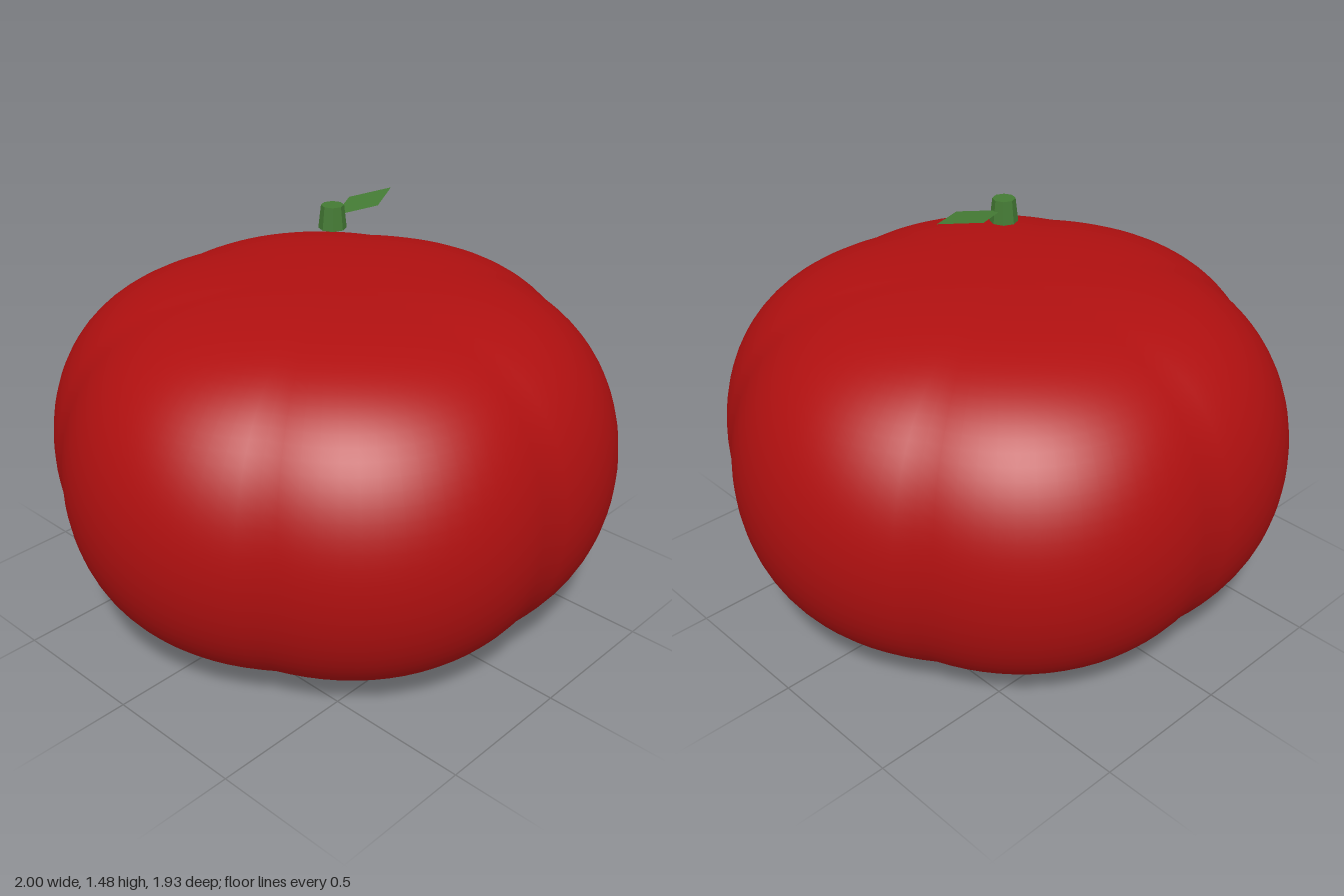
import * as THREE from 'three';
import { mergeVertices } from 'three/addons/utils/BufferGeometryUtils.js';

const red = new THREE.MeshStandardMaterial({ color: 0xb01010 });
red.name = 'tomato red';
const green = new THREE.MeshStandardMaterial({ color: 0x447a34, flatShading: true, side: THREE.DoubleSide });
green.name = 'stem green';

function addPart(group, name, geometry, material) {
  const mesh = new THREE.Mesh(geometry, material);
  mesh.name = name;
  group.add(mesh);
  return mesh;
}

// Squashed sphere with flattened poles and six lobes meeting in shallow creases
function fruitGeometry() {
  const sphere = new THREE.SphereGeometry(1, 96, 56);
  sphere.deleteAttribute('normal');
  sphere.deleteAttribute('uv');
  const geometry = mergeVertices(sphere);
  const p = geometry.attributes.position;
  for (let i = 0; i < p.count; i++) {
    const x = p.getX(i), y = p.getY(i), z = p.getZ(i);
    const lobe = 0.955 + 0.045 * Math.abs(Math.cos(3 * Math.atan2(z, x)));
    p.setXYZ(i, x * lobe, 0.613 + 0.85 * y * (1 - 0.28 * y * y), z * lobe);
  }
  geometry.computeVertexNormals();
  return geometry;
}

// Flat diamond, rising slightly towards its tip
function leafGeometry() {
  const shape = new THREE.Shape();
  shape.moveTo(-0.14, 0);
  shape.lineTo(0, -0.065);
  shape.lineTo(0.14, 0);
  shape.lineTo(0, 0.065);
  shape.closePath();
  return new THREE.ShapeGeometry(shape)
    .rotateX(-Math.PI / 2)
    .rotateZ(0.11)
    .translate(0.15, 1.453, 0);
}

export function createModel() {
  const model = new THREE.Group();
  model.name = 'tomato';

  addPart(model, 'fruit', fruitGeometry(), red);

  // Short tapered stalk hovering above the fruit
  const stem = addPart(model, 'stem', new THREE.CylinderGeometry(0.038, 0.047, 0.078, 8), green);
  stem.position.y = 1.438;

  addPart(model, 'leaf', leafGeometry(), green);
  return model;
}
